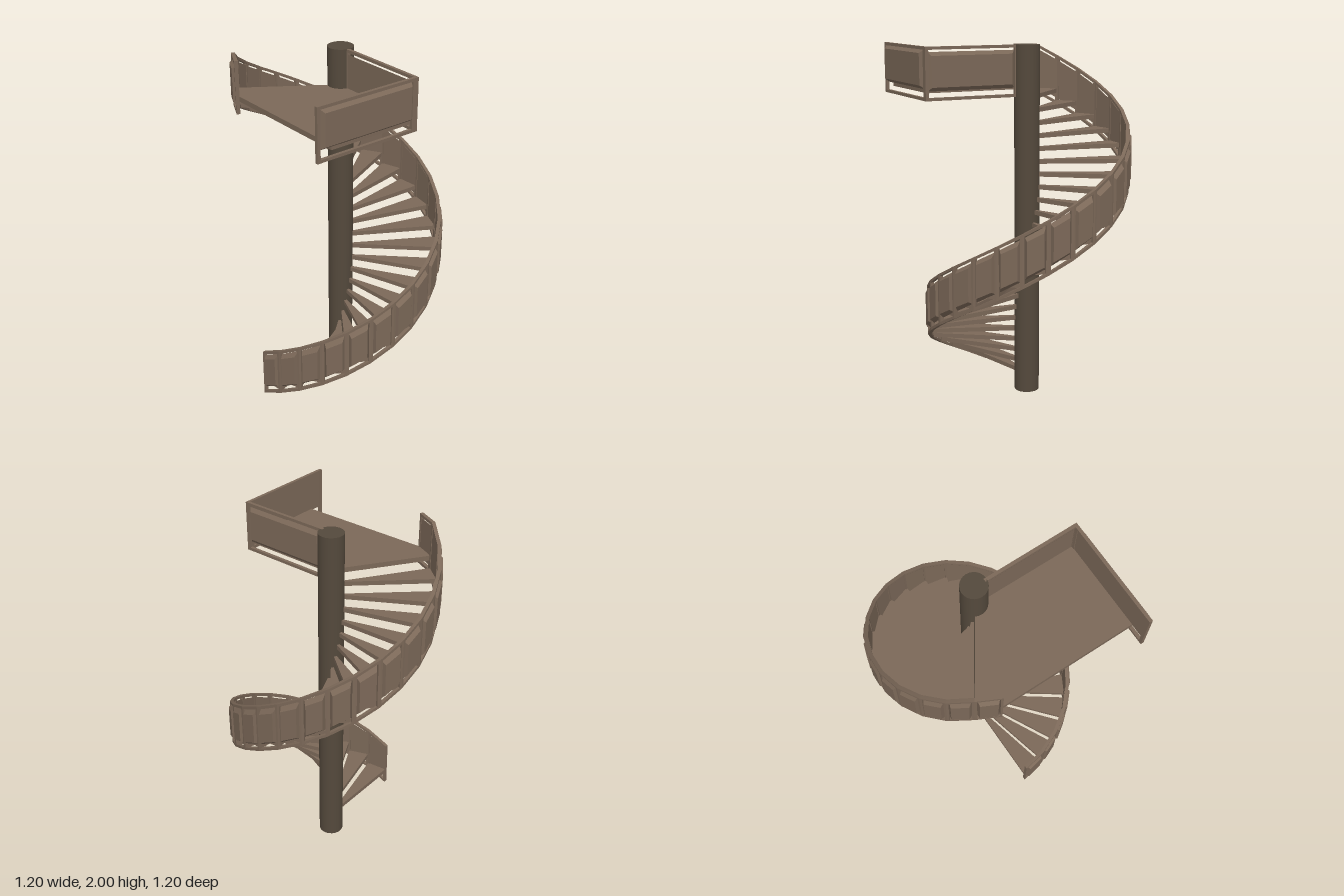
import * as THREE from 'three';

const CX = -0.017, CZ = -0.015;          // axis of the spiral
const STEP = THREE.MathUtils.degToRad(13.6), START = 0.008;
const STEPS = 24, RISE = 0.07;
const RAIL_R = 0.554, RAIL_H = 0.292;

const wood = new THREE.MeshStandardMaterial({ color: 0x7b6858 });
wood.name = 'brown';
const dark = new THREE.MeshStandardMaterial({ color: 0x54493c });
dark.name = 'dark brown';

const lerp = THREE.MathUtils.lerp;
const angle = (k) => START + k * STEP;
const polar = (r, a) => [CX + r * Math.sin(a), CZ + r * Math.cos(a)];

// Plan functions give (x, z) from s along the part (0..1) and distance d outward
const sectorPlan = (a0, a1, r) => (s, d) => {
  const p = polar(r + d, a0), q = polar(r + d, a1);
  return [lerp(p[0], q[0], s), lerp(p[1], q[1], s)];
};
const straightPlan = (p, q) => {
  const dx = q[0] - p[0], dz = q[1] - p[1], l = Math.hypot(dx, dz);
  return (s, d) => [p[0] + dx * s - (dz / l) * d, p[1] + dz * s + (dx / l) * d];
};

// Six-sided block bent onto a plan; the outer face may be inset to form a bevel
function block(name, plan, base, [s0, s1], [y0, y1], [d0, d1], insetS = 0, insetY = 0) {
  const geo = new THREE.BoxGeometry(1, 1, 1);
  const pos = geo.attributes.position;
  for (let i = 0; i < pos.count; i++) {
    const outer = pos.getZ(i) > 0 ? 1 : 0;
    const s = pos.getX(i) > 0 ? s1 - insetS * outer : s0 + insetS * outer;
    const y = pos.getY(i) > 0 ? y1 - insetY * outer : y0 + insetY * outer;
    const [x, z] = plan(s, outer ? d1 : d0);
    pos.setXYZ(i, x, y + lerp(base[0], base[1], s), z);
  }
  geo.computeVertexNormals();
  const mesh = new THREE.Mesh(geo, wood);
  mesh.name = name;
  return mesh;
}

// Framed railing bay: two bars, two stiles and a bevelled infill panel
function railing(name, plan, base, o) {
  const g = new THREE.Group();
  g.name = name;
  const { h, stile, depth, bulge, bar = 0.016, low, high, bevelS, bevelY } = o;
  const frame = [0, depth];
  g.add(
    block('bottomBar', plan, base, [0, 1], [0, bar], frame),
    block('topBar', plan, base, [0, 1], [h - bar, h], frame),
    block('startStile', plan, base, [0, stile], [bar, h - bar], frame),
    block('endStile', plan, base, [1 - stile, 1], [bar, h - bar], frame),
    block('infillPanel', plan, base, [stile, 1 - stile], [low, high],
      [0.004, depth + bulge], bevelS, bevelY)
  );
  return g;
}

export function createModel() {
  const model = new THREE.Group();
  model.name = 'spiralStaircase';

  // Central column
  const column = new THREE.Mesh(new THREE.CylinderGeometry(0.071, 0.071, 2, 24), dark);
  column.name = 'column';
  column.position.set(CX, 1, CZ);
  model.add(column);

  // Wedge treads
  const treads = new THREE.Group();
  treads.name = 'treads';
  for (let k = 0; k < STEPS; k++) {
    const plan = sectorPlan(angle(k) + 0.004, angle(k + 1) - 0.004, 0);
    const y = 0.09 + k * RISE;
    treads.add(block('tread', plan, [y, y], [0, 1], [-0.0125, 0.0125], [0.05, 0.56]));
  }
  model.add(treads);

  // Climbing balustrade, with a level bay at the landing
  const balustrade = new THREE.Group();
  balustrade.name = 'balustrade';
  for (let k = 0; k <= STEPS; k++) {
    const y = k * 0.0703;
    const base = k < STEPS ? [y, y + 0.0703] : [y, y];
    balustrade.add(railing('balustradeBay', sectorPlan(angle(k), angle(k + 1), RAIL_R), base, {
      h: RAIL_H, stile: 0.09, depth: 0.02, bulge: 0.012,
      low: 0.038, high: 0.266, bevelS: 0.09, bevelY: 0.022
    }));
  }
  model.add(balustrade);

  // Landing platform, including the last wedge of the spiral
  const outline = [[CX, CZ + 0.01], polar(0.56, angle(STEPS) + 0.004), [-0.205, 0.508],
    [0.57, 0.508], [0.57, -0.003]];
  const shape = new THREE.Shape(outline.map(([x, z]) => new THREE.Vector2(x, -z)));
  const slab = new THREE.ExtrudeGeometry(shape, { depth: 0.028, bevelEnabled: false });
  slab.rotateX(-Math.PI / 2);
  const landing = new THREE.Mesh(slab, wood);
  landing.name = 'landing';
  landing.position.y = 1.757;
  model.add(landing);

  // Landing railings
  const level = [1.716, 1.716];
  model.add(
    railing('backRailing', straightPlan([0.585, -0.001], [0.04, -0.001]), level, {
      h: 0.284, stile: 0.035, depth: 0.018, bulge: 0.003,
      low: 0.05, high: 0.256, bevelS: 0.03, bevelY: 0.02
    }),
    railing('sideRailing', straightPlan([0.567, 0.6], [0.567, -0.003]), level, {
      h: 0.284, stile: 0.03, depth: 0.018, bulge: 0.014,
      low: 0.06, high: 0.27, bevelS: 0.03, bevelY: 0.02
    })
  );
  return model;
}
